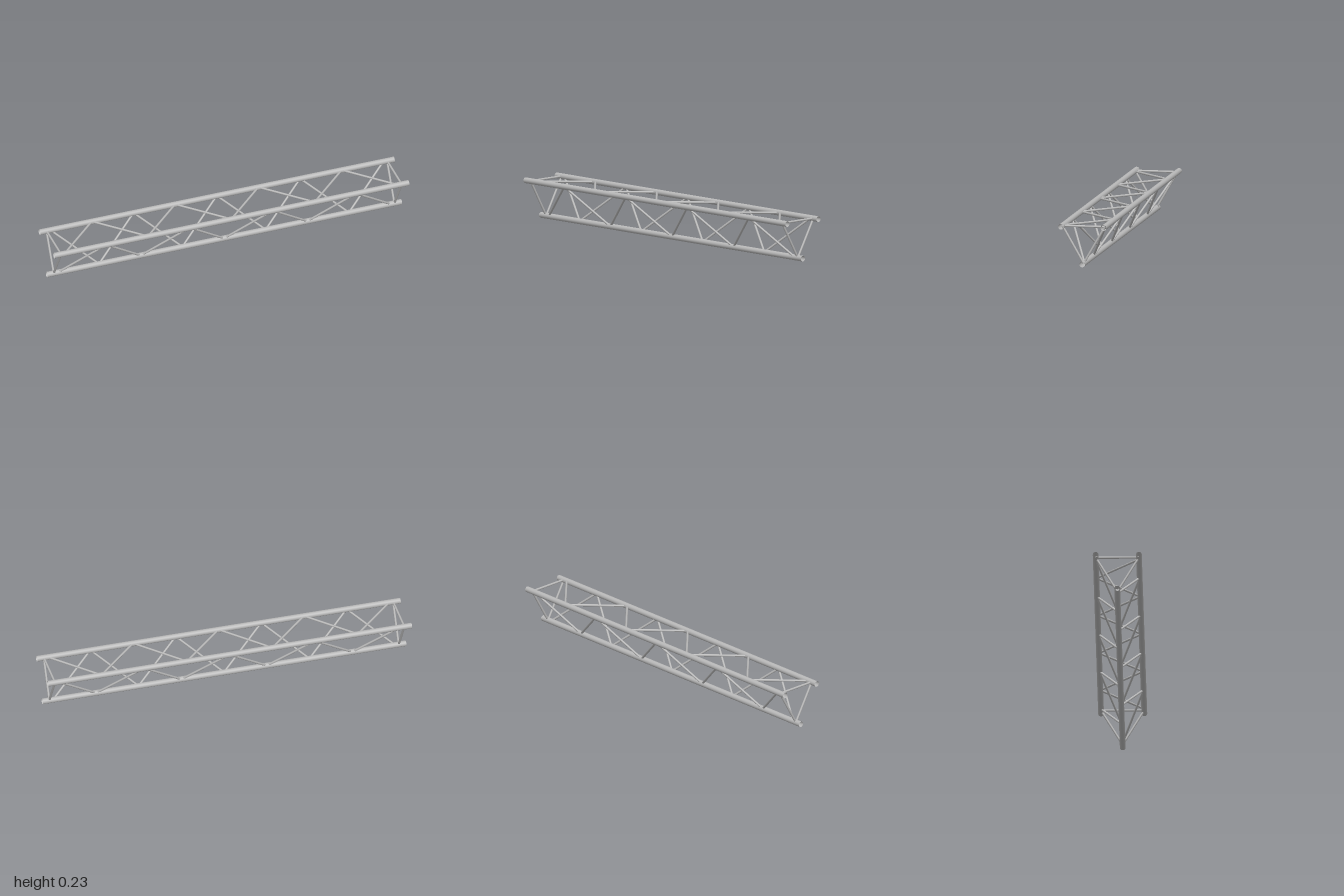
import * as THREE from 'three';

export function createModel() {
  const group = new THREE.Group();
  group.name = 'triangularTruss';
  const metal = new THREE.MeshStandardMaterial({ color: 0xb8b8b8, side: THREE.DoubleSide });
  metal.name = 'brushed aluminium';

  const chordRadius = 0.0155, braceRadius = 0.006;
  const half = 0.115, low = 0.0155, high = low + half * Math.sqrt(3);
  const bays = 8, bayLength = 0.235, postX = 0.961;

  // Open round tube between two points
  function tube(name, a, b, radius, sides) {
    const dir = b.clone().sub(a);
    const geo = new THREE.CylinderGeometry(radius, radius, dir.length(), sides, 1, true);
    const mesh = new THREE.Mesh(geo, metal);
    mesh.position.copy(a).add(b).multiplyScalar(0.5);
    mesh.quaternion.setFromUnitVectors(new THREE.Vector3(0, 1, 0), dir.normalize());
    mesh.name = name;
    group.add(mesh);
  }

  // Chord positions in the cross-section: bottom, top front, top back
  const chords = [
    { name: 'bottom', y: low, z: 0 },
    { name: 'topFront', y: high, z: half },
    { name: 'topBack', y: high, z: -half },
  ];
  const at = (chord, x) => new THREE.Vector3(x, chord.y, chord.z);

  chords.forEach((a, k) => {
    const b = chords[(k + 1) % 3];
    const face = ['front', 'top', 'back'][k];

    // Main chord
    tube(a.name + 'Chord', at(a, -1), at(a, 1), chordRadius, 24);

    // End posts
    for (const s of [-1, 1]) tube(face + 'EndPost', at(a, s * postX), at(b, s * postX), braceRadius, 12);

    // Zigzag diagonals
    for (let i = 0; i < bays; i++) {
      const x = (i - bays / 2) * bayLength;
      const [p, q] = i % 2 ? [b, a] : [a, b];
      tube(face + 'Diagonal', at(p, x), at(q, x + bayLength), braceRadius, 12);
    }
  });

  return group;
}
